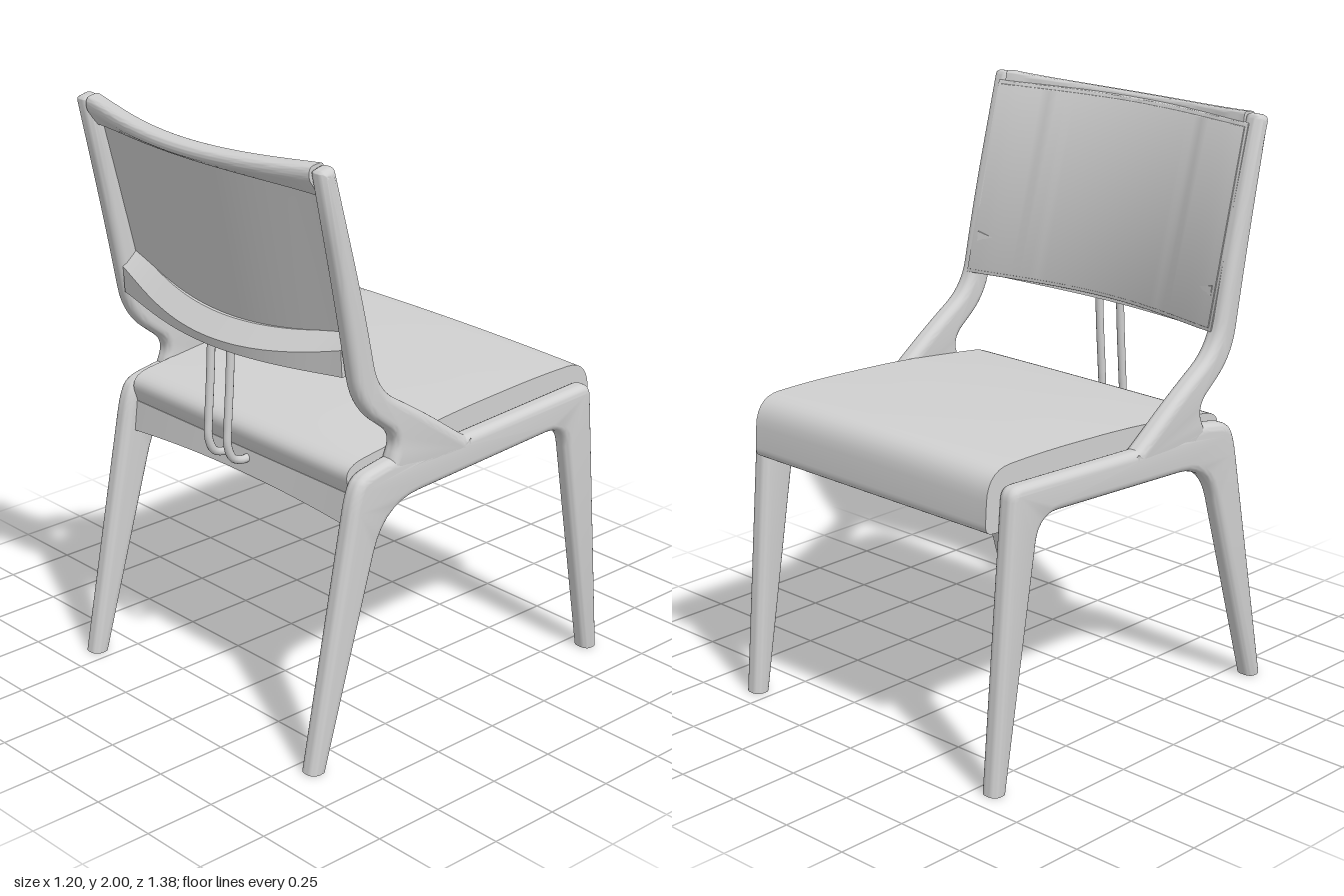
import * as THREE from 'three';
import { toCreasedNormals } from 'three/addons/utils/BufferGeometryUtils.js';

const grey = new THREE.MeshStandardMaterial({ color: 0xd0d0d0 });
grey.name = 'light grey';

// Closed polygon of [z, y, cornerRadius] with softened corners
function rounded(points) {
  const shape = new THREE.Shape();
  const n = points.length;
  points.forEach(([z, y, r = 0], i) => {
    const corner = new THREE.Vector2(z, y);
    const toward = ([a, b]) => {
      const d = new THREE.Vector2(a - z, b - y);
      const len = d.length();
      return d.multiplyScalar(Math.min(r, len * 0.49) / len).add(corner);
    };
    const a = toward(points[(i + n - 1) % n]);
    const b = toward(points[(i + 1) % n]);
    if (i === 0) shape.moveTo(a.x, a.y);
    else shape.lineTo(a.x, a.y);
    if (r > 0) shape.quadraticCurveTo(z, y, b.x, b.y);
  });
  shape.closePath();
  return shape;
}

// Soft-edged slab cut from a side outline, with flat feet on the ground
function slab(points, thickness) {
  const bevel = 0.028;
  const depth = thickness - 2 * bevel;
  const geo = new THREE.ExtrudeGeometry(rounded(points), {
    depth, curveSegments: 7, bevelEnabled: true, bevelSegments: 6,
    bevelSize: bevel, bevelThickness: bevel, bevelOffset: -bevel,
  });
  geo.translate(0, 0, -depth / 2).rotateY(-Math.PI / 2);
  const p = geo.attributes.position;
  for (let i = 0; i < p.count; i++) p.setY(i, Math.max(0, p.getY(i)));
  return toCreasedNormals(geo, 0.6);
}

// Sweep across x of a side section that may change with u = x / halfWidth
function loft(halfWidth, steps, section) {
  const pos = [], index = [];
  let ring, count;
  for (let s = 0; s <= steps; s++) {
    const u = (s / steps) * 2 - 1;
    ring = rounded(section(u)).getPoints(7);
    if (ring[0].distanceTo(ring[ring.length - 1]) < 1e-6) ring.pop();
    if (THREE.ShapeUtils.isClockWise(ring)) ring.reverse();
    count = ring.length;
    ring.forEach((p) => pos.push(u * halfWidth, p.y, p.x));
  }
  for (let s = 0; s < steps; s++) {
    for (let i = 0; i < count; i++) {
      const a = s * count + i, b = s * count + ((i + 1) % count);
      index.push(a, a + count, b + count, a, b + count, b);
    }
  }
  const end = steps * count;
  for (const [a, b, c] of THREE.ShapeUtils.triangulateShape(ring, [])) {
    index.push(a, b, c, end + a, end + c, end + b);
  }
  const geo = new THREE.BufferGeometry();
  geo.setAttribute('position', new THREE.Float32BufferAttribute(pos, 3));
  geo.setIndex(index);
  return toCreasedNormals(geo, 0.6);
}

// Backrest curvature across x (0 at the posts, 1 at the middle)
const bow = (x) => Math.pow(Math.max(0, 1 - (x / 0.56) ** 2), 1.4);
// Depth of the panel's front face, a little flatter towards the top
const panelFace = (x, y) => 0.375 + 0.25 * (y - 1.3) + (0.083 - 0.02 * (y - 1.3)) * bow(x);

export function createModel() {
  const chair = new THREE.Group();
  chair.name = 'chair';
  const add = (name, geo, x = 0, y = 0, z = 0) => {
    const mesh = new THREE.Mesh(geo, grey);
    mesh.name = name;
    mesh.position.set(x, y, z);
    chair.add(mesh);
    return mesh;
  };

  // Side frames: front leg, rear leg and rail in one piece
  const legFrame = slab([
    [0.661, -0.026], [0.48, 0.915, 0.07], [0.445, 0.975, 0.05], [0.29, 1.002, 0.05],
    [0.16, 0.985, 0.05], [0.0, 0.985, 0.05], [-0.605, 1.012, 0.045], [-0.69, -0.026],
    [-0.629, -0.026], [-0.478, 0.89, 0.085], [0.345, 0.848, 0.15], [0.598, -0.026],
  ], 0.07);
  // Back posts sweeping down into arms whose feet sink into the rails
  const backPost = slab([
    [0.612, 1.985, 0.015], [0.555, 2.0, 0.02], [0.435, 1.55, 0.2], [0.37, 1.245, 0.09],
    [0.16, 1.11, 0.1], [0.02, 1.008, 0.06], [-0.05, 0.962, 0.01], [0.0, 0.925, 0.02],
    [0.27, 0.925, 0.02], [0.325, 0.97, 0.02], [0.285, 1.065, 0.06], [0.455, 1.2, 0.1],
    [0.52, 1.55, 0.2],
  ], 0.07);
  for (const side of [-1, 1]) {
    add('legFrame', legFrame, side * 0.565);
    add('backPost', backPost, side * 0.565);
  }

  // Seat cushion rolled over front and rear edges, slightly domed
  add('seat', loft(0.533, 24, (u) => {
    const dome = 0.007 * (1 - u * u);
    return [
      [0.44, 0.888, 0.01], [0.468, 0.995, 0.09], [0.3, 1.017 + dome, 0.1],
      [0.0, 1.05 + dome, 0.15], [-0.4, 1.069 + dome, 0.15], [-0.65, 1.066 + dome, 0.1],
      [-0.662, 0.86, 0.035], [-0.575, 0.855, 0.01], [-0.555, 0.9, 0.01], [0.41, 0.89, 0],
    ];
  }));

  // Rear rail with an arched lower edge
  add('rearRail', loft(0.535, 20, (u) => {
    const y = 0.82 - 0.026 * u * u;
    return [[0.458, y], [0.445, 0.9], [0.385, 0.9], [0.395, y - 0.01]];
  }));

  // Curved backrest panel and its stitched pad
  const panel = (half, low, high, front, back) => loft(half, 32, (u) => {
    const atLow = panelFace(u * half, low), atHigh = panelFace(u * half, high);
    return [
      [atLow + front, low, 0.003], [atHigh + front, high, 0.003],
      [atHigh + back, high], [atLow + back, low],
    ];
  });
  add('backPanel', panel(0.56, 1.295, 1.965, 0, 0.018));
  add('backPad', panel(0.548, 1.307, 1.953, -0.004, 0.008));

  // Top rail behind the panel
  add('topRail', loft(0.535, 32, (u) => {
    const b = 0.083 * bow(u * 0.535), k = u * u;
    return [
      [0.535 + b, 1.905 - 0.01 * k], [0.55 + b, 1.98 + 0.02 * k, 0.015],
      [0.605 + b, 1.972 + 0.022 * k, 0.02], [0.607 + b, 1.94 + 0.015 * k, 0.015],
      [0.565 + b, 1.916 - 0.02 * k], [0.53 + b * 0.9, 1.91 - 0.02 * k],
    ];
  }));

  // Lower back rail with a sloping top
  add('lowerBackRail', loft(0.535, 32, (u) => {
    const b = 0.085 * bow(u * 0.535), k = u * u;
    return [
      [0.385 + b, 1.28 + 0.02 * k], [0.475 + b, 1.28 + 0.02 * k],
      [0.48 + b, 1.31 + 0.08 * k], [0.42 + b, 1.372 + 0.07 * k],
      [0.402 + b, 1.372 + 0.07 * k],
    ];
  }));

  // Pair of support rods hooking into the rear of the seat
  const rodPath = new THREE.CatmullRomCurve3([
    [1.31, 0.508], [1.15, 0.517], [1.0, 0.528], [0.94, 0.53], [0.89, 0.51], [0.873, 0.475], [0.873, 0.42],
  ].map(([y, z]) => new THREE.Vector3(0, y, z)));
  const rod = new THREE.TubeGeometry(rodPath, 40, 0.014, 12);
  for (const x of [-0.048, 0.048]) add('supportRod', rod, x);

  // Rod bracket and screws on the underside
  add('rodBracket', new THREE.BoxGeometry(0.16, 0.035, 0.008), 0, 0.855, 0.387);
  const screw = new THREE.CylinderGeometry(0.014, 0.014, 0.01, 16);
  for (const side of [-1, 1]) {
    add('rearScrew', screw, side * 0.36, 0.845, 0.387).rotation.x = Math.PI / 2;
    add('frontScrew', screw, side * 0.36, 0.897, -0.52);
  }
  return chair;
}
